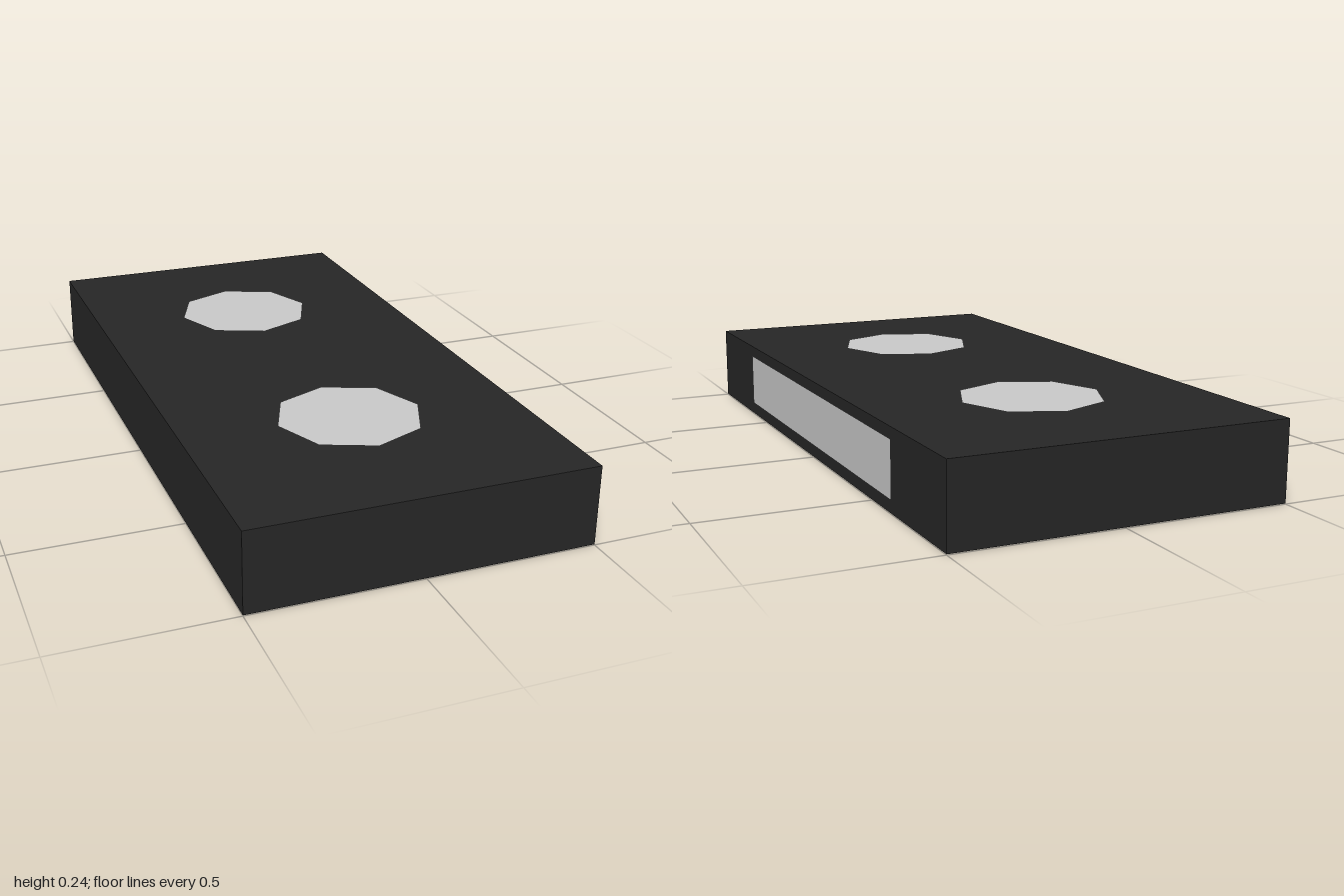
import * as THREE from 'three';

const LENGTH = 2, WIDTH = 1, HEIGHT = 0.24, GAP = 0.002;

const dark = new THREE.MeshStandardMaterial({ color: 0x272727 });
const light = new THREE.MeshStandardMaterial({ color: 0xcccccc });
const mid = new THREE.MeshStandardMaterial({ color: 0x999999 });

export function createModel() {
  const model = new THREE.Group();
  model.name = 'slab';

  const add = (name, geometry, material) => {
    const mesh = new THREE.Mesh(geometry, material);
    mesh.name = name;
    model.add(mesh);
    return mesh;
  };

  // Solid body, with a hair's gap left for the inlays above and below
  add('body', new THREE.BoxGeometry(WIDTH, HEIGHT - 2 * GAP, LENGTH), dark)
    .position.y = HEIGHT / 2;

  // Long window on the +x side
  const sideWindow = add('sideWindow', new THREE.PlaneGeometry(1.29, 0.165), light);
  sideWindow.rotation.y = Math.PI / 2;
  sideWindow.position.set(WIDTH / 2 + GAP, 0.1225, 0);

  // Rectangular panel in the middle of the underside
  const basePanel = add('basePanel', new THREE.PlaneGeometry(0.49, 0.81), light);
  basePanel.rotation.x = Math.PI / 2;

  // Pointed end of the underside panel
  const endShape = new THREE.Shape([
    [-0.245, 0.405], [0.245, 0.405], [0.245, 0.62], [0, 0.71], [-0.245, 0.62],
  ].map(([x, z]) => new THREE.Vector2(x, z)));

  for (const [side, sign] of [['front', 1], ['back', -1]]) {
    // Octagonal disc on the top face
    const disc = add(side + 'Disc', new THREE.CircleGeometry(0.216, 8), light);
    disc.rotation.x = -Math.PI / 2;
    disc.position.set(0, HEIGHT, sign * 0.47);

    const end = add(side + 'BaseEnd', new THREE.ShapeGeometry(endShape), mid);
    end.rotation.set(Math.PI / 2, 0, sign > 0 ? 0 : Math.PI);
  }

  return model;
}
